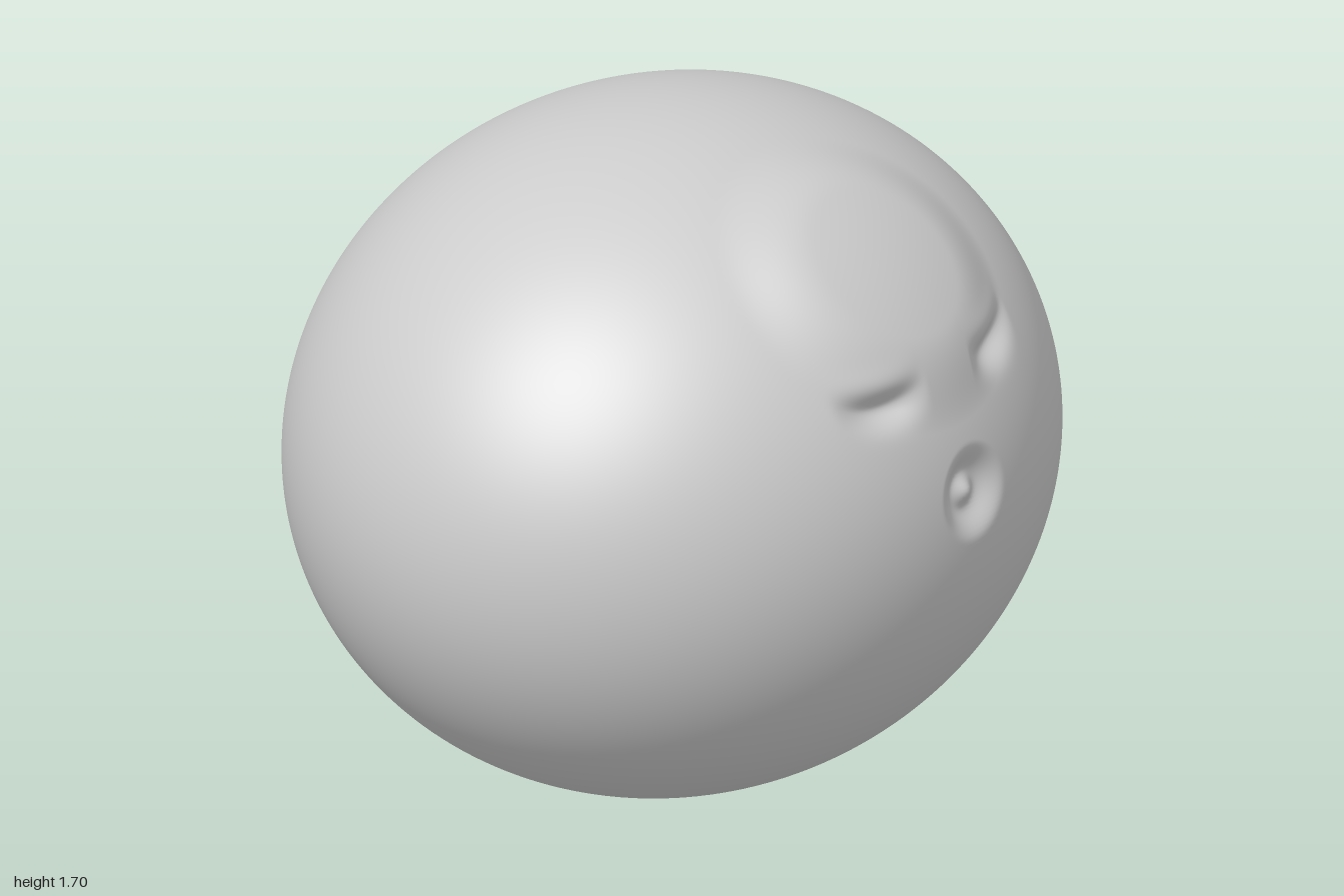
import * as THREE from 'three';
import { mergeVertices } from 'three/addons/utils/BufferGeometryUtils.js';

const RADII = new THREE.Vector3(1, 0.85, 0.9);
const smooth = THREE.MathUtils.smoothstep;

// Raised round forehead
function forehead(p) {
  const d = Math.hypot(p.x, p.y - 1.45, p.z - 0.6);
  return 0.036 * (1 - smooth(d, 0.2, 0.42));
}

// Closed eyes: curved creases, steep above and soft below
function eyes(p) {
  const u = (Math.abs(p.x) - 0.22) / 0.135;
  if (Math.abs(u) >= 1) return 0;
  const v = p.y - (1.225 + 0.022 * u * u + 0.008 * u);
  const fade = (1 - u * u) ** 1.5;
  const crease = Math.exp(-((v / (v > 0 ? 0.026 : 0.042)) ** 2));
  const lid = Math.exp(-(((v - 0.05) / 0.03) ** 2));
  return fade * (0.004 * lid - 0.04 * crease);
}

// Round mouth: ring-shaped hollow with a small bump in the middle
function mouth(p) {
  const r = Math.hypot(p.x, p.y - 0.945);
  return -0.045 * (1 - smooth(r, 0.04, 0.125)) + 0.025 * Math.exp(-((r / 0.032) ** 2));
}

export function createModel() {
  const group = new THREE.Group();
  group.name = 'roundHead';
  const skin = new THREE.MeshStandardMaterial({ color: 0xcccccc });
  skin.name = 'lightGrey';

  // Sphere whose pole sits in the face, with rings packed closely around it
  let geometry = new THREE.SphereGeometry(1, 240, 200);
  geometry.deleteAttribute('uv');
  geometry.deleteAttribute('normal');
  const pos = geometry.attributes.position;
  const pole = new THREE.Vector3(0, 0.32, 0.95).normalize();
  const turn = new THREE.Quaternion().setFromUnitVectors(new THREE.Vector3(0, 1, 0), pole);
  const p = new THREE.Vector3();
  const n = new THREE.Vector3();
  for (let i = 0; i < pos.count; i++) {
    p.fromBufferAttribute(pos, i);
    const t = Math.acos(THREE.MathUtils.clamp(p.y, -1, 1)) / Math.PI;
    const theta = Math.PI * t ** 1.4;
    const around = Math.atan2(p.z, p.x);
    p.set(Math.sin(theta) * Math.cos(around), Math.cos(theta), Math.sin(theta) * Math.sin(around));
    p.applyQuaternion(turn).multiply(RADII);
    n.copy(p).divide(RADII).divide(RADII).normalize();
    p.y += RADII.y;
    let push = forehead(p);
    if (p.z > 0) push += eyes(p) + mouth(p);
    p.addScaledVector(n, push);
    pos.setXYZ(i, p.x, p.y, p.z);
  }
  geometry = mergeVertices(geometry, 1e-5);
  geometry.computeVertexNormals();

  const head = new THREE.Mesh(geometry, skin);
  head.name = 'head';
  group.add(head);
  return group;
}
